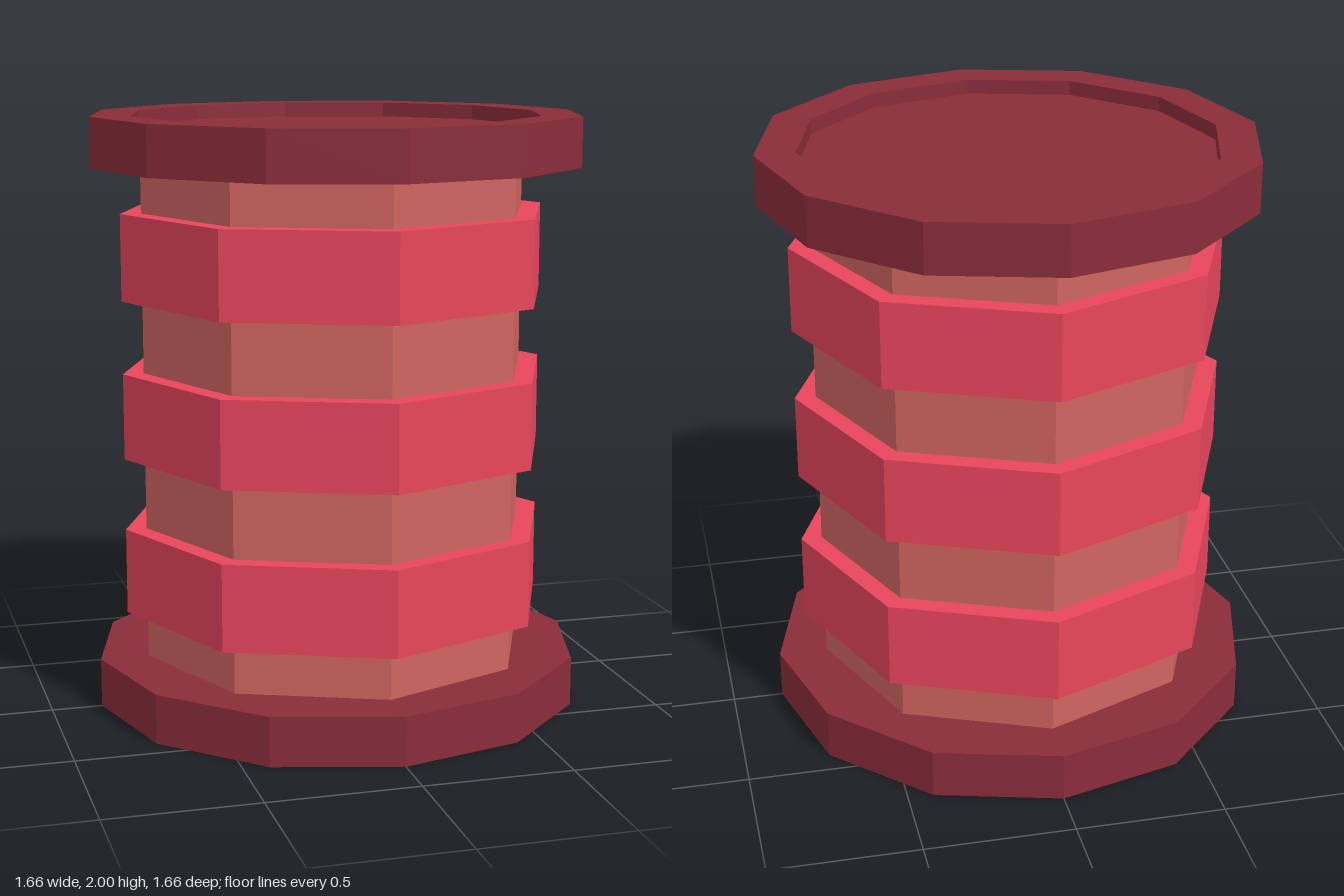
import * as THREE from 'three';

const mat = (color) => new THREE.MeshStandardMaterial({ color, flatShading: true });

// Faceted turned part; profile runs counter-clockwise as [radius, y]
function turned(name, profile, sides, material) {
  const points = profile.map(([r, y]) => new THREE.Vector2(r, y));
  const mesh = new THREE.Mesh(new THREE.LatheGeometry(points, sides), material);
  mesh.name = name;
  return mesh;
}

export function createModel() {
  const model = new THREE.Group();
  model.name = 'barrel';
  const capMat = mat(0x8a2d39);
  const bodyMat = mat(0xd0655f);
  const bandMat = mat(0xe8465c);

  const bodyR = 0.665, bandR = 0.735, bandH = 0.29;
  const capR = 0.83, capH = 0.166, recessR = 0.695, recess = 0.05;

  // Octagonal body between the end caps
  model.add(turned('body', [[bodyR, capH], [bodyR, 2 - capH]], 8, bodyMat));

  // Three raised bands
  for (const y of [0.47, 1.003, 1.537]) {
    const h = bandH / 2;
    const band = turned('band', [[bodyR, -h], [bandR, -h], [bandR, h], [bodyR, h]], 8, bandMat);
    band.position.y = y;
    model.add(band);
  }

  // Twelve-sided end caps with a recessed outer face
  const capProfile = [
    [0, recess], [recessR, recess], [recessR, 0],
    [capR, 0], [capR, capH], [0, capH],
  ];
  const bottomCap = turned('bottomCap', capProfile, 12, capMat);
  const topCap = turned('topCap', capProfile, 12, capMat);
  topCap.rotation.x = Math.PI;
  topCap.position.y = 2;
  model.add(bottomCap, topCap);

  return model;
}
